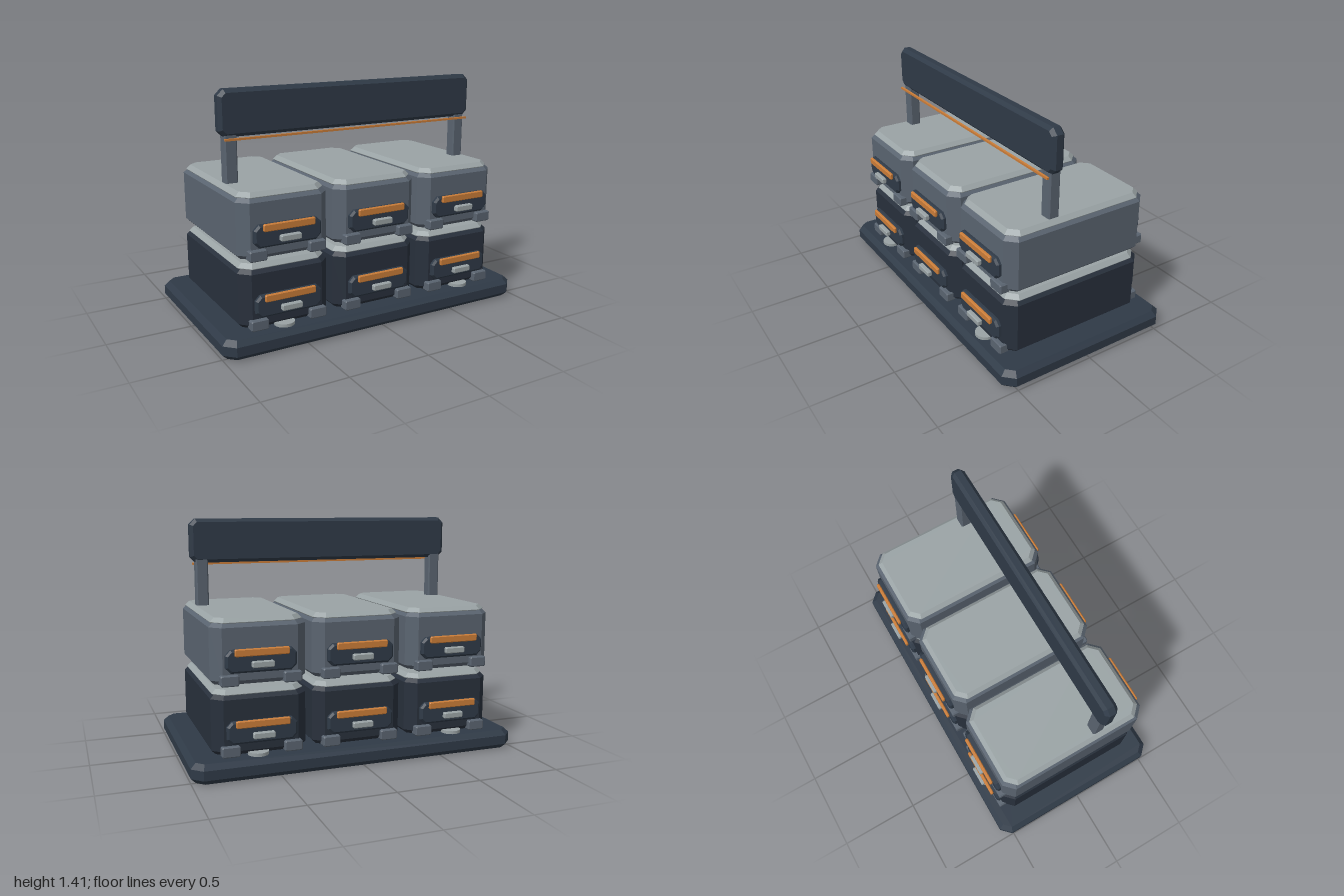
import * as THREE from 'three';

const mat = (name, color) => {
  const m = new THREE.MeshStandardMaterial({ color });
  m.name = name;
  return m;
};

// Box with cut corners in its outline and a bevel on both faces along the given axis.
// w, h, d are always the sizes along x, y, z.
function chamferBox(w, h, d, corner, bevel, axis = 'z') {
  const a = w / 2, b = (axis === 'y' ? d : h) / 2, depth = axis === 'y' ? h : d, c = corner;
  const shape = new THREE.Shape([
    [-a + c, -b], [a - c, -b], [a, -b + c], [a, b - c],
    [a - c, b], [-a + c, b], [-a, b - c], [-a, -b + c],
  ].map(([x, y]) => new THREE.Vector2(x, y)));
  const geo = new THREE.ExtrudeGeometry(shape, {
    depth: depth - 2 * bevel, bevelEnabled: true, bevelSegments: 1,
    bevelSize: bevel, bevelThickness: bevel, bevelOffset: -bevel,
  });
  geo.translate(0, 0, bevel - depth / 2);
  if (axis === 'y') geo.rotateX(-Math.PI / 2);
  return geo;
}

export function createModel() {
  const model = new THREE.Group();
  model.name = 'crateRack';

  const navy = mat('navy', 0x2f3a47);
  const darkNavy = mat('darkNavy', 0x28303c);
  const slate = mat('slate', 0x5a6470);
  const paleGrey = mat('paleGrey', 0x9aa3a5);
  const orange = mat('orange', 0xcb7d38);

  const add = (parent, name, geo, material, x, y, z) => {
    const mesh = new THREE.Mesh(geo, material);
    mesh.name = name;
    mesh.position.set(x, y, z);
    parent.add(mesh);
    return mesh;
  };

  // Base slab
  add(model, 'base', chamferBox(2, 0.115, 1.14, 0.06, 0.03, 'y'), navy, 0, 0.0575, 0);

  // Shared crate pieces
  const bodyGeo = chamferBox(0.55, 0.345, 0.95, 0.06, 0.025, 'y');
  const lidGeo = chamferBox(0.525, 0.05, 0.915, 0.06, 0.024, 'y');
  const panelGeo = chamferBox(0.405, 0.13, 0.05, 0.03, 0.012);
  const handleGeo = chamferBox(0.31, 0.042, 0.02, 0.006, 0.005);
  const latchGeo = chamferBox(0.125, 0.036, 0.03, 0.006, 0.005);
  const footGeo = chamferBox(0.105, 0.062, 0.06, 0.008, 0.006);

  // Handle, latch, panel and feet for one end of a crate
  function crateEnd() {
    const end = new THREE.Group();
    end.name = 'crateEnd';
    add(end, 'panel', panelGeo, navy, 0, 0.135, 0.477);
    add(end, 'handle', handleGeo, orange, 0, 0.186, 0.513);
    add(end, 'latch', latchGeo, paleGrey, 0, 0.12, 0.525);
    for (const s of [-1, 1]) add(end, 'foot', footGeo, slate, s * 0.18, 0.03, 0.472);
    return end;
  }

  // Two layers of three crates
  [[0.12, darkNavy], [0.52, slate]].forEach(([y, bodyMat]) => {
    for (const x of [-0.59, 0, 0.59]) {
      const crate = new THREE.Group();
      crate.name = 'crate';
      crate.position.set(x, y, 0);
      add(crate, 'crateBody', bodyGeo, bodyMat, 0, 0.1725, 0);
      add(crate, 'crateLid', lidGeo, paleGrey, 0, 0.345, 0);
      const front = crateEnd(), back = crateEnd();
      back.rotation.y = Math.PI;
      crate.add(front, back);
      model.add(crate);
    }
  });

  // Round studs on the base
  const studGeo = new THREE.CylinderGeometry(0.06, 0.06, 0.022, 20);
  for (const x of [-0.61, 0.61])
    for (const z of [-0.465, 0.465]) add(model, 'stud', studGeo, paleGrey, x, 0.123, z);

  // Posts, header board and its accent strip
  for (const s of [-1, 1])
    add(model, 'post', chamferBox(0.075, 0.34, 0.07, 0.008, 0.008), slate, s * 0.787, 1.03, 0.163);
  add(model, 'header', chamferBox(1.71, 0.265, 0.08, 0.035, 0.02), navy, 0, 1.2815, 0.167);
  add(model, 'accentStrip', new THREE.BoxGeometry(1.66, 0.012, 0.014), orange, 0, 1.139, 0.217);

  return model;
}
